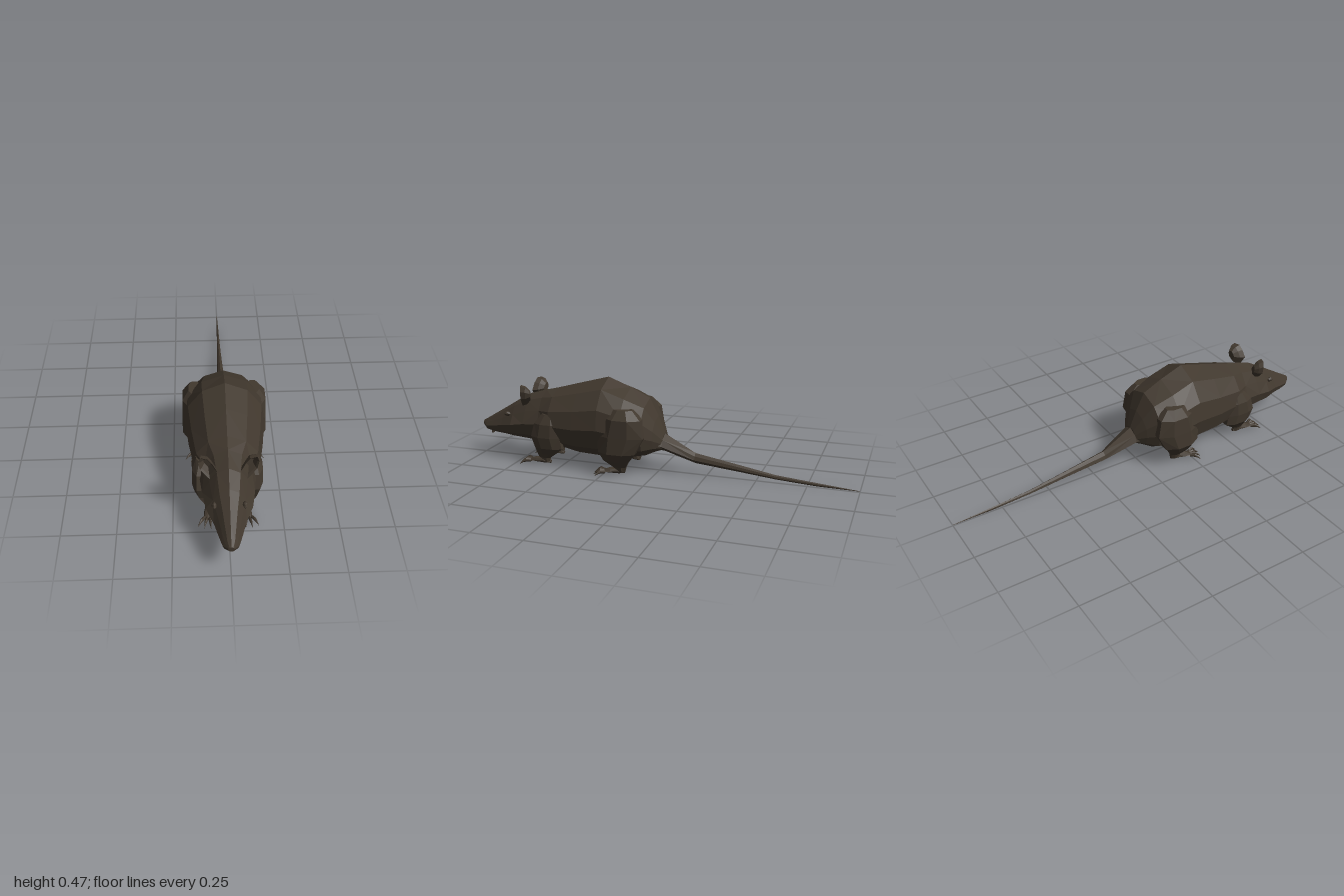
import * as THREE from 'three';

const V = (x, y, z) => new THREE.Vector3(x, y, z);

// Closed faceted skin through rings of equal point count, always wound outward
function loft(rings) {
  const tris = [];
  const n = rings[0].length;
  for (let i = 0; i < rings.length - 1; i++) {
    for (let j = 0; j < n; j++) {
      const k = (j + 1) % n;
      const a = rings[i][j], b = rings[i][k], c = rings[i + 1][k], d = rings[i + 1][j];
      // Mirrored, alternating diagonals give the faceted fur look
      const flip = (i + (j < n / 2 ? j : n - 1 - j)) % 2 === 0;
      const mirror = j < n / 2;
      if (flip === mirror) tris.push([a, b, c], [a, c, d]);
      else tris.push([a, b, d], [b, c, d]);
    }
  }
  const cap = (ring, front) => {
    const mid = ring.reduce((s, p) => s.add(p), V(0, 0, 0)).divideScalar(n);
    ring.forEach((p, j) => {
      const q = ring[(j + 1) % n];
      tris.push(front ? [mid, q, p] : [mid, p, q]);
    });
  };
  cap(rings[0], true);
  cap(rings[rings.length - 1], false);
  const volume = tris.reduce((s, [a, b, c]) => s + a.dot(b.clone().cross(c)), 0);
  const points = tris.flatMap(([a, b, c]) => (volume < 0 ? [a, c, b] : [a, b, c]));
  const geometry = new THREE.BufferGeometry().setFromPoints(points);
  geometry.computeVertexNormals();
  return geometry;
}

// Body outline at one station: z, bottom, top, half width, width of the upper back
const HALF = [[0, 1], [0.56, 0.89], [0.92, 0.67], [1, 0.42], [0.84, 0.17], [0.46, 0.03], [0, 0]];
function bodyRing([z, y0, y1, w, upper = 1]) {
  const side = HALF.map(([fx, fy]) =>
    V(fx * w * (fy > 0.6 ? upper : 1), y0 + fy * (y1 - y0), z));
  const other = side.slice(1, -1).reverse().map((p) => V(-p.x, p.y, p.z));
  return [...side, ...other];
}

// Horizontal ring of a leg
function legRing([x, y, z, rx, rz], sides = 8) {
  return Array.from({ length: sides }, (_, i) => {
    const a = ((i + 0.5) / sides) * Math.PI * 2;
    return V(x + Math.cos(a) * rx * 1.08, y, z + Math.sin(a) * rz * 1.08);
  });
}

// Upright six-sided ring: z, bottom, top, half width
function uprightRing([z, y0, y1, w]) {
  const m = y0 + (y1 - y0) * 0.4;
  return [V(0, y1, z), V(w * 0.75, m + (y1 - m) * 0.6, z), V(w, m, z),
    V(0, y0, z), V(-w, m, z), V(-w * 0.75, m + (y1 - m) * 0.6, z)];
}

export function createModel() {
  const rat = new THREE.Group();
  rat.name = 'rat';
  const fur = new THREE.MeshStandardMaterial({ color: 0x41382e, flatShading: true });
  fur.name = 'dark brown fur';

  const add = (name, geometry) => {
    const mesh = new THREE.Mesh(geometry, fur);
    mesh.name = name;
    rat.add(mesh);
  };
  // Adds the part on the left (+x) and its mirror image on the right
  const addPair = (name, rings) => {
    add('left' + name, loft(rings));
    add('right' + name, loft(rings.map((r) => r.map((p) => V(-p.x, p.y, p.z)))));
  };

  // Head and trunk in one skin
  add('body', loft([
    [0.998, 0.155, 0.18, 0.014],
    [0.97, 0.132, 0.196, 0.036, 0.8],
    [0.92, 0.124, 0.226, 0.052, 0.8],
    [0.86, 0.12, 0.262, 0.07, 0.8],
    [0.79, 0.116, 0.305, 0.102, 0.75],
    [0.71, 0.111, 0.35, 0.116, 0.78],
    [0.62, 0.104, 0.376, 0.126, 0.88],
    [0.55, 0.096, 0.393, 0.15],
    [0.41, 0.07, 0.432, 0.172],
    [0.27, 0.065, 0.47, 0.188],
    [0.15, 0.072, 0.425, 0.192],
    [0.05, 0.09, 0.378, 0.165],
    [0.005, 0.11, 0.29, 0.105],
    [-0.03, 0.12, 0.205, 0.05],
  ].map(bodyRing)));

  // Tail, broad at the root and drawn to a point
  add('tail', loft([
    [0.05, 0.115, 0.26, 0.1],
    [-0.03, 0.108, 0.2, 0.06],
    [-0.19, 0.06, 0.113, 0.025],
    [-0.4, 0.04, 0.077, 0.016],
    [-0.6, 0.02, 0.042, 0.01],
    [-0.8, 0.008, 0.025, 0.006],
    [-1, 0.006, 0.008, 0.001],
  ].map(uprightRing)));

  // Legs from hip or shoulder to ankle
  addPair('HindLeg', [
    [0.14, 0.345, 0.14, 0.03, 0.05],
    [0.145, 0.3, 0.14, 0.055, 0.095],
    [0.148, 0.21, 0.15, 0.054, 0.12],
    [0.15, 0.125, 0.17, 0.052, 0.095],
    [0.135, 0.075, 0.182, 0.032, 0.065],
    [0.118, 0.04, 0.172, 0.02, 0.035],
    [0.113, 0.012, 0.167, 0.016, 0.022],
  ].map((r) => legRing(r)));
  addPair('FrontLeg', [
    [0.115, 0.28, 0.55, 0.025, 0.04],
    [0.125, 0.23, 0.56, 0.034, 0.07],
    [0.126, 0.16, 0.57, 0.034, 0.08],
    [0.115, 0.1, 0.56, 0.034, 0.075],
    [0.096, 0.06, 0.585, 0.022, 0.05],
    [0.085, 0.035, 0.6, 0.016, 0.03],
    [0.082, 0.01, 0.595, 0.014, 0.022],
  ].map((r) => legRing(r)));

  // Feet, each with four toes ending in sharp claws
  const addFoot = (name, x, z, length, turn) => {
    const place = (ring) => ring.map((p) =>
      p.clone().applyAxisAngle(V(0, 1, 0), turn).add(V(x, 0, z)));
    addPair(name, [
      [-0.02, 0.004, 0.022, 0.01],
      [0.015, 0.003, 0.042, 0.018],
      [length * 0.6, 0.006, 0.036, 0.022],
      [length, 0.01, 0.024, 0.022],
    ].map((r) => place(uprightRing(r))));
    for (let i = 0; i < 4; i++) {
      const spread = (i - 1.5) * 0.36;
      const toe = [[0, 0.008, 0.026, 0.007], [0.025, 0.01, 0.03, 0.0065],
        [0.04, 0.008, 0.02, 0.004], [0.056, 0.002, 0.004, 0.0005]].map((r) =>
        place(uprightRing(r).map((p) =>
          p.applyAxisAngle(V(0, 1, 0), spread).add(V((i - 1.5) * 0.011, 0, length - 0.008)))));
      addPair(name + 'Toe' + (i + 1), toe);
    }
  };
  addFoot('HindFoot', 0.113, 0.166, 0.09, 0.28);
  addFoot('FrontFoot', 0.082, 0.59, 0.095, 0.08);

  // Cupped ears: back, rim and hollow inner face
  const outline = [[0.05, 0.353], [0.07, 0.39], [0.09, 0.413], [0.122, 0.413],
    [0.13, 0.385], [0.122, 0.345], [0.08, 0.3]];
  const earRing = (scale, z) => outline.map(([x, y]) =>
    V(0.092 + (x - 0.092) * scale, 0.365 + (y - 0.365) * scale,
      z + (0.12 - x) * 0.3 * scale));
  addPair('Ear', [earRing(0.45, 0.665), earRing(0.85, 0.685), earRing(1, 0.71),
    earRing(0.78, 0.703), earRing(0.4, 0.68)]);

  // Eyes set in the sides of the face
  for (const s of [1, -1]) {
    const eye = new THREE.OctahedronGeometry(0.016, 1);
    eye.scale(0.7, 0.85, 1.2);
    eye.translate(s * 0.066, 0.245, 0.822);
    add(s > 0 ? 'leftEye' : 'rightEye', eye);
  }

  // Nose pad and front teeth
  const nose = new THREE.IcosahedronGeometry(0.016, 0);
  nose.scale(1, 0.75, 0.7);
  nose.translate(0, 0.165, 0.989);
  add('nose', nose);
  for (const s of [1, -1]) {
    const tooth = new THREE.BoxGeometry(0.009, 0.025, 0.008);
    tooth.translate(s * 0.005, 0.125, 0.95);
    add(s > 0 ? 'leftTooth' : 'rightTooth', tooth);
  }

  return rat;
}
